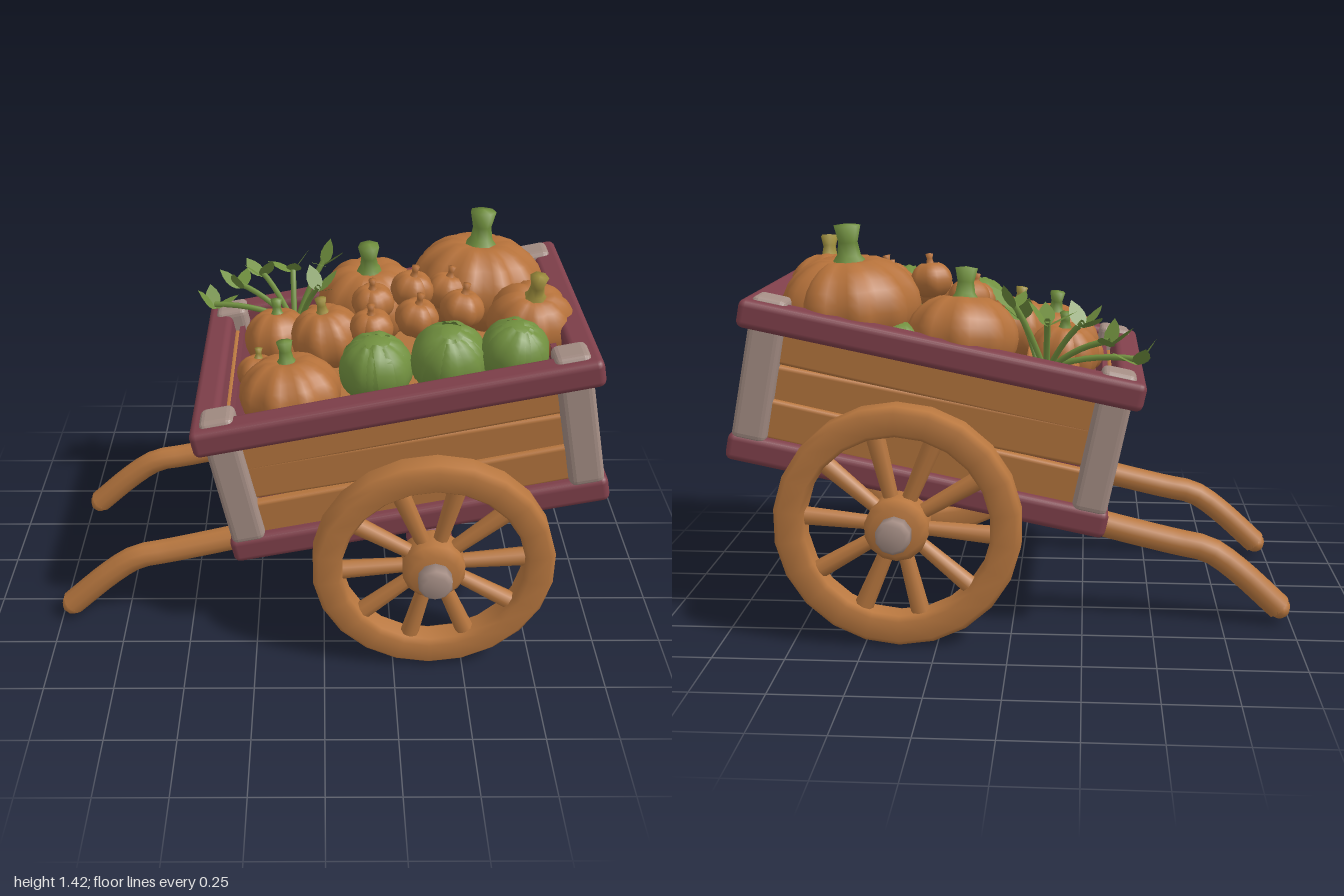
import * as THREE from 'three';
import { RoundedBoxGeometry } from 'three/addons/geometries/RoundedBoxGeometry.js';

const mat = (name, color, side = THREE.FrontSide) => {
  const m = new THREE.MeshStandardMaterial({ color, side });
  m.name = name;
  return m;
};

export function createModel() {
  const orange = mat('orange wood', 0xb8773f);
  const red = mat('dark red paint', 0x80404b);
  const grey = mat('weathered grey', 0xa48d84);
  const pumpkinSkin = mat('pumpkin skin', 0xb5713a);
  const green = mat('leaf green', 0x71903f, THREE.DoubleSide);
  const olive = mat('olive stem', 0x9c8c3c);

  const model = new THREE.Group();
  model.name = 'vegetableCart';

  function add(parent, name, geo, material, x = 0, y = 0, z = 0) {
    const m = new THREE.Mesh(geo, material);
    m.name = name;
    m.position.set(x, y, z);
    parent.add(m);
    return m;
  }
  const rbox = (w, h, d, r = 0.02) => new RoundedBoxGeometry(w, h, d, 2, r);
  const lathe = (pts, n) => new THREE.LatheGeometry(pts.map(p => new THREE.Vector2(p[0], p[1])), n);

  // Tilted cart body
  const body = new THREE.Group();
  body.name = 'body';
  body.position.set(0.33, 0.535, 0);
  body.rotation.z = 0.203;
  model.add(body);

  add(body, 'basePlate', rbox(1.35, 0.1, 0.98, 0.025), red);
  add(body, 'innerLining', new THREE.BoxGeometry(1.14, 0.34, 0.8), red, 0, 0.2, 0);
  add(body, 'loadBed', new THREE.BoxGeometry(1.0, 0.36, 0.72), orange, 0, 0.22, 0);

  for (const s of [-1, 1]) {
    add(body, 'sideTopRail', rbox(1.4, 0.1, 0.1, 0.025), red, 0, 0.475, s * 0.47);
    add(body, 'endTopRail', rbox(0.1, 0.1, 0.94, 0.025), red, s * 0.65, 0.475, 0);
    add(body, 'sideLining', new THREE.BoxGeometry(1.2, 0.42, 0.02), red, 0, 0.26, s * 0.4);
    add(body, 'endLining', new THREE.BoxGeometry(0.02, 0.42, 0.8), red, s * 0.57, 0.26, 0);
    // Slightly uneven planks, three per wall
    for (let i = 0; i < 3; i++) {
      const v = 0.11 + i * 0.135, out = [0.012, 0, 0.008][i], lean = [0.012, -0.015, 0.01][i];
      const side = add(body, 'sidePlank', rbox(1.18, 0.145, 0.04, 0.014), orange, 0, v, s * (0.425 + out));
      side.rotation.set(s * 0.06, 0, lean);
      const end = add(body, 'endPlank', rbox(0.04, 0.145, 0.82, 0.014), orange, s * (0.592 + out), v, 0);
      end.rotation.set(lean, 0, -s * 0.06);
    }
    // Corner posts
    for (const e of [-1, 1]) {
      const g = rbox(0.125, 0.51, 0.125, 0.025), p = g.attributes.position;
      for (let i = 0; i < p.count; i++) {
        const k = 1 - 0.1 * Math.cos(p.getY(i) * 6);
        p.setXYZ(i, p.getX(i) * k, p.getY(i), p.getZ(i) * k);
      }
      g.computeVertexNormals();
      add(body, 'cornerPost', g, grey, e * 0.603, 0.285, s * 0.428);
    }
  }

  // Bent handles
  const handlePts = [[-0.1, 0.42], [-0.33, 0.355], [-0.58, 0.295], [-0.7, 0.268], [-0.8, 0.2], [-0.96, 0.055]];
  for (const s of [-1, 1]) {
    const path = new THREE.CatmullRomCurve3(handlePts.map((p, i) => new THREE.Vector3(p[0], p[1], s * (0.325 + i * 0.003))));
    add(model, 'handle', new THREE.TubeGeometry(path, 18, 0.047, 10), orange);
    const tip = add(model, 'handleTip', new THREE.SphereGeometry(0.047, 10, 8), orange, -0.96, 0.055, s * 0.34);
    tip.scale.set(0.85, 0.85, 1);
  }

  // Axle beam, thicker at its ends
  const axle = add(model, 'axle', lathe([[0, -0.51], [0.078, -0.51], [0.084, -0.42], [0.06, -0.15], [0.06, 0.15],
    [0.084, 0.42], [0.078, 0.51], [0, 0.51]], 12), red, 0.38, 0.42, 0);
  axle.rotation.x = Math.PI / 2;

  // Wheels
  const rimProfile = [[0.32, -0.035], [0.335, -0.055], [0.405, -0.055], [0.425, -0.035],
    [0.425, 0.035], [0.405, 0.055], [0.335, 0.055], [0.32, 0.035], [0.32, -0.035]];
  for (const s of [-1, 1]) {
    const wheel = new THREE.Group();
    wheel.name = 'wheel';
    wheel.position.set(0.38, 0.425, s * 0.577);
    wheel.rotation.x = s * Math.PI / 2;
    model.add(wheel);
    add(wheel, 'rim', lathe(rimProfile, 22), orange);
    add(wheel, 'hub', lathe([[0, -0.07], [0.09, -0.07], [0.11, -0.04], [0.11, 0.055], [0.085, 0.085], [0, 0.085]], 14), orange);
    add(wheel, 'axleCap', lathe([[0, 0.07], [0.06, 0.07], [0.06, 0.13], [0.045, 0.147], [0, 0.147]], 10), grey);
    for (let i = 0; i < 10; i++) {
      const a = 0.09 + i * Math.PI / 5;
      const spoke = add(wheel, 'spoke', new THREE.CylinderGeometry(0.034, 0.026, 0.26, 8), orange,
        Math.cos(a) * 0.21, 0, -s * Math.sin(a) * 0.21);
      spoke.rotation.set(0, s * a, -Math.PI / 2, 'YXZ');
    }
  }

  // Ribbed pumpkin with a dimpled top and bent stem
  function pumpkin(x, y, z, r, h, stem, stemMat, ribs = 9, tiltX = 0, tiltZ = 0.15) {
    const g = new THREE.Group();
    g.name = 'pumpkin';
    g.position.set(x, y, z);
    g.rotation.set(tiltX, x * 7, tiltZ);
    const geo = new THREE.SphereGeometry(1, ribs * 4, 14), p = geo.attributes.position;
    for (let i = 0; i < p.count; i++) {
      const X = p.getX(i), Y = p.getY(i), Z = p.getZ(i), q = Math.hypot(X, Z);
      const rib = 0.89 + 0.11 * Math.sqrt(Math.abs(Math.sin(Math.atan2(Z, X) * ribs / 2)));
      const dip = 1 - 0.22 * Math.max(0, 1 - q * 2.2);
      p.setXYZ(i, X * r * rib, Y * h * dip * (0.9 + 0.1 * rib), Z * r * rib);
    }
    geo.computeVertexNormals();
    add(g, 'pumpkinFlesh', geo, pumpkinSkin);
    const w = stem * 0.3, top = h * 0.72;
    add(g, 'pumpkinStem', lathe([[w * 2, top], [w * 1.1, top + stem * 0.35], [w * 0.9, top + stem * 0.7],
      [w * 1.25, top + stem * 1.15], [0, top + stem * 1.2]], 7), stemMat);
    model.add(g);
  }
  pumpkin(0.58, 1.13, -0.24, 0.25, 0.18, 0.13, green, 10, 0, 0.05);
  pumpkin(0.18, 1.03, -0.3, 0.2, 0.155, 0.11, green, 9);
  pumpkin(-0.17, 0.94, -0.14, 0.13, 0.12, 0.06, green, 8);
  pumpkin(-0.12, 0.92, 0.24, 0.185, 0.14, 0.08, green, 9);
  pumpkin(0.01, 1.01, -0.02, 0.135, 0.12, 0.06, olive, 8);
  pumpkin(0.73, 1.14, 0.11, 0.155, 0.13, 0.09, olive, 8, 0.2, -0.1);
  pumpkin(-0.24, 0.9, 0.06, 0.08, 0.07, 0.04, olive, 6);
  for (const [x, y, z] of [[0.18, 1.13, -0.06], [0.32, 1.19, -0.04], [0.45, 1.17, -0.07],
    [0.17, 1.1, 0.09], [0.33, 1.14, 0.09], [0.49, 1.17, 0.08]])
    pumpkin(x, y, z, 0.08, 0.07, 0.04, pumpkinSkin, 6);

  // Cabbages with overlapping outer leaves
  function cabbage(x, y, z, r) {
    const g = new THREE.Group();
    g.name = 'cabbage';
    g.position.set(x, y, z);
    add(g, 'cabbageHeart', new THREE.SphereGeometry(r * 0.93, 14, 10), green);
    for (let i = 0; i < 6; i++) {
      const geo = new THREE.SphereGeometry(r, 8, 8, 0, 1.75, 0.35, 1.7), p = geo.attributes.position;
      for (let j = 0; j < p.count; j++) {
        const k = 0.95 + 0.06 * Math.abs(Math.sin(4 * Math.atan2(p.getZ(j), p.getX(j)))) + 0.03 * p.getY(j) / r;
        p.setXYZ(j, p.getX(j) * k, p.getY(j) * k, p.getZ(j) * k);
      }
      geo.computeVertexNormals();
      const leaf = add(g, 'cabbageLeaf', geo, green);
      leaf.rotation.set(0.2, i * 1.05 + x * 5, 0.15 * (i % 3 - 1));
      leaf.scale.setScalar(0.98 + 0.02 * (i % 2));
    }
    model.add(g);
  }
  cabbage(0.18, 1.03, 0.27, 0.13);
  cabbage(0.43, 1.07, 0.28, 0.135);
  cabbage(0.65, 1.11, 0.3, 0.12);
  // Cabbages peeping out from below
  cabbage(0.4, 1.0, -0.36, 0.09);
  cabbage(0.76, 1.06, -0.04, 0.09);

  // Carrots and their leafy tops
  const leafShape = new THREE.Shape();
  leafShape.moveTo(0, 0);
  leafShape.bezierCurveTo(0.035, 0.02, 0.045, 0.06, 0, 0.11);
  leafShape.bezierCurveTo(-0.045, 0.06, -0.035, 0.02, 0, 0);
  const sprigs = [[-0.43, 0.97, -0.38], [-0.33, 1.04, -0.42], [-0.24, 1.1, -0.4], [-0.12, 1.11, -0.43], [0.0, 1.16, -0.37], [-0.02, 1.1, -0.26]];
  sprigs.forEach(([x, y, z], i) => {
    const root = new THREE.Vector3(-0.16 + i * 0.015, 0.94, -0.33);
    const tip = new THREE.Vector3(x, y, z);
    const mid = root.clone().lerp(tip, 0.5).add(new THREE.Vector3(0, 0.03, 0));
    add(model, 'leafStalk', new THREE.TubeGeometry(new THREE.QuadraticBezierCurve3(root, mid, tip), 6, 0.011, 6), green);
    for (let k = 0; k < 3; k++) {
      const leaf = add(model, 'leaf', new THREE.ShapeGeometry(leafShape, 5), green, x, y - 0.02, z);
      leaf.rotation.set(-1.1 + 0.25 * k, (k - 1) * 1.5 + i, 0.2, 'YXZ');
    }
  });
  for (let i = 0; i < 4; i++) {
    const carrot = add(model, 'carrot', new THREE.ConeGeometry(0.045, 0.3, 9), pumpkinSkin,
      -0.2 + i * 0.07, 0.9 + i * 0.015, -0.3 + 0.02 * (i % 2));
    carrot.rotation.set(1.3, 0, 0.3 - i * 0.2);
  }
  return model;
}
